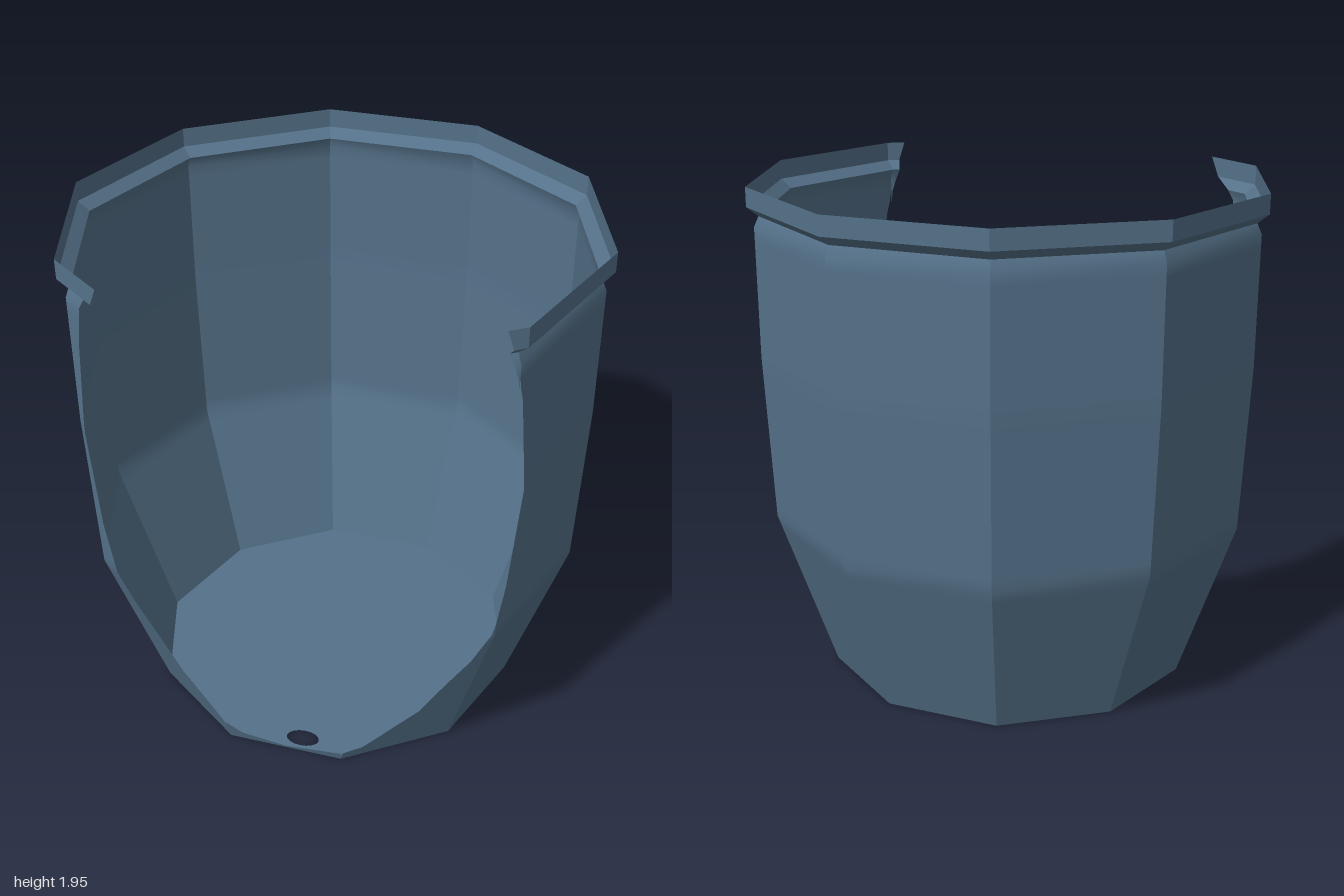
import * as THREE from 'three';

const SIDES = 10, AXIS_Z = 0.1;

// Outer profile, [height, corner radius]
const PROFILE = [[0, 0.725], [0.65, 0.943], [1.3, 0.973], [1.8, 0.975], [1.84, 0.957], [1.875, 1], [1.95, 1]];

// Broken edge on each side, [height, distance from the front centre in panel widths]
const BREAK_LEFT = [[0.01, 0], [0.05, 0.69], [0.1, 0.83], [0.22, 1.13], [0.5, 1.41], [0.7, 1.5], [0.85, 1.58],
  [1.25, 1.66], [1.65, 1.55], [1.8, 1.46], [1.84, 1.45], [1.875, 1.42], [1.95, 1.38]];
const BREAK_RIGHT = [[0.01, 0], [0.04, 0.37], [0.11, 0.54], [0.22, 0.98], [0.5, 1.28], [0.65, 1.33], [0.85, 1.42],
  [1.25, 1.466], [1.65, 1.4], [1.84, 1.33], [1.875, 1.13], [1.95, 1.06]];

// Linear lookup in a table of [key, value]
function sample(table, y) {
  if (y <= table[0][0]) return table[0][1];
  for (let i = 1; i < table.length; i++) {
    const [y0, v0] = table[i - 1], [y1, v1] = table[i];
    if (y <= y1) return v0 + (v1 - v0) * (y - y0) / (y1 - y0);
  }
  return table[table.length - 1][1];
}

// Point on the ten-sided outline; u counts panels from the front towards +x
function outline(u, y) {
  const r = sample(PROFILE, y), k = Math.floor(u + 0.5), t = u + 0.5 - k;
  const a = (k - 0.5) * 2 * Math.PI / SIDES, b = (k + 0.5) * 2 * Math.PI / SIDES;
  return [
    r * THREE.MathUtils.lerp(Math.sin(a), Math.sin(b), t), y,
    AXIS_Z + r * THREE.MathUtils.lerp(Math.cos(a), Math.cos(b), t)
  ];
}

// One panel between u0 and u1, trimmed by the broken edges, smooth up its height
function panelGeometry(u0, u1, heights) {
  const pos = [], index = [], widths = [];
  for (const y of heights) {
    const lo = THREE.MathUtils.clamp(sample(BREAK_LEFT, y), u0, u1);
    const hi = THREE.MathUtils.clamp(SIDES - sample(BREAK_RIGHT, y), u0, u1);
    // stay just inside the panel so both ends use its own flat side
    pos.push(...outline(lo + 1e-6, y), ...outline(hi - 1e-6, y));
    widths.push(hi - lo);
  }
  for (let i = 0; i + 1 < heights.length; i++) {
    const p = 2 * i;
    if (widths[i] > 1e-4) index.push(p, p + 1, p + 3);
    if (widths[i + 1] > 1e-4) index.push(p, p + 3, p + 2);
  }
  if (!index.length) return null;
  const g = new THREE.BufferGeometry();
  g.setAttribute('position', new THREE.Float32BufferAttribute(pos, 3));
  g.setIndex(index);
  g.computeVertexNormals();
  return g;
}

// All panels of one band of the wall
function band(name, heights, material) {
  const group = new THREE.Group();
  group.name = name;
  for (let k = 0; k <= SIDES; k++) {
    const g = panelGeometry(Math.max(0, k - 0.5), Math.min(SIDES, k + 0.5), heights);
    if (!g) continue;
    const mesh = new THREE.Mesh(g, material);
    mesh.name = name + 'Panel';
    group.add(mesh);
  }
  return group;
}

export function createModel() {
  const model = new THREE.Group();
  model.name = 'brokenPot';
  const material = new THREE.MeshStandardMaterial({ color: 0x55728a, side: THREE.DoubleSide });

  // Wall rows: every bend of the profile and of the broken edges, plus even steps
  const rows = new Set([...PROFILE, ...BREAK_LEFT, ...BREAK_RIGHT].map(p => p[0]));
  for (let i = 1; i < 36; i++) rows.add(i / 20);
  const wallRows = [...rows].filter(y => y <= 1.84).sort((a, b) => a - b);
  model.add(band('wall', wallRows, material));

  // Stepped lip
  model.add(band('lipUnderside', [1.84, 1.875], material));
  model.add(band('lip', [1.875, 1.95], material));

  // Floor with an oval drain hole
  const corners = [];
  for (let k = 0; k < SIDES; k++) {
    const [x, , z] = outline(k + 0.5, 0);
    corners.push(new THREE.Vector2(x, z));
  }
  const shape = new THREE.Shape(corners);
  const hole = new THREE.Path();
  hole.absellipse(0.05, 0.725, 0.065, 0.04, 0, Math.PI * 2, true);
  shape.holes.push(hole);
  const floor = new THREE.Mesh(new THREE.ShapeGeometry(shape, 8).rotateX(Math.PI / 2), material);
  floor.name = 'floor';
  model.add(floor);

  return model;
}
